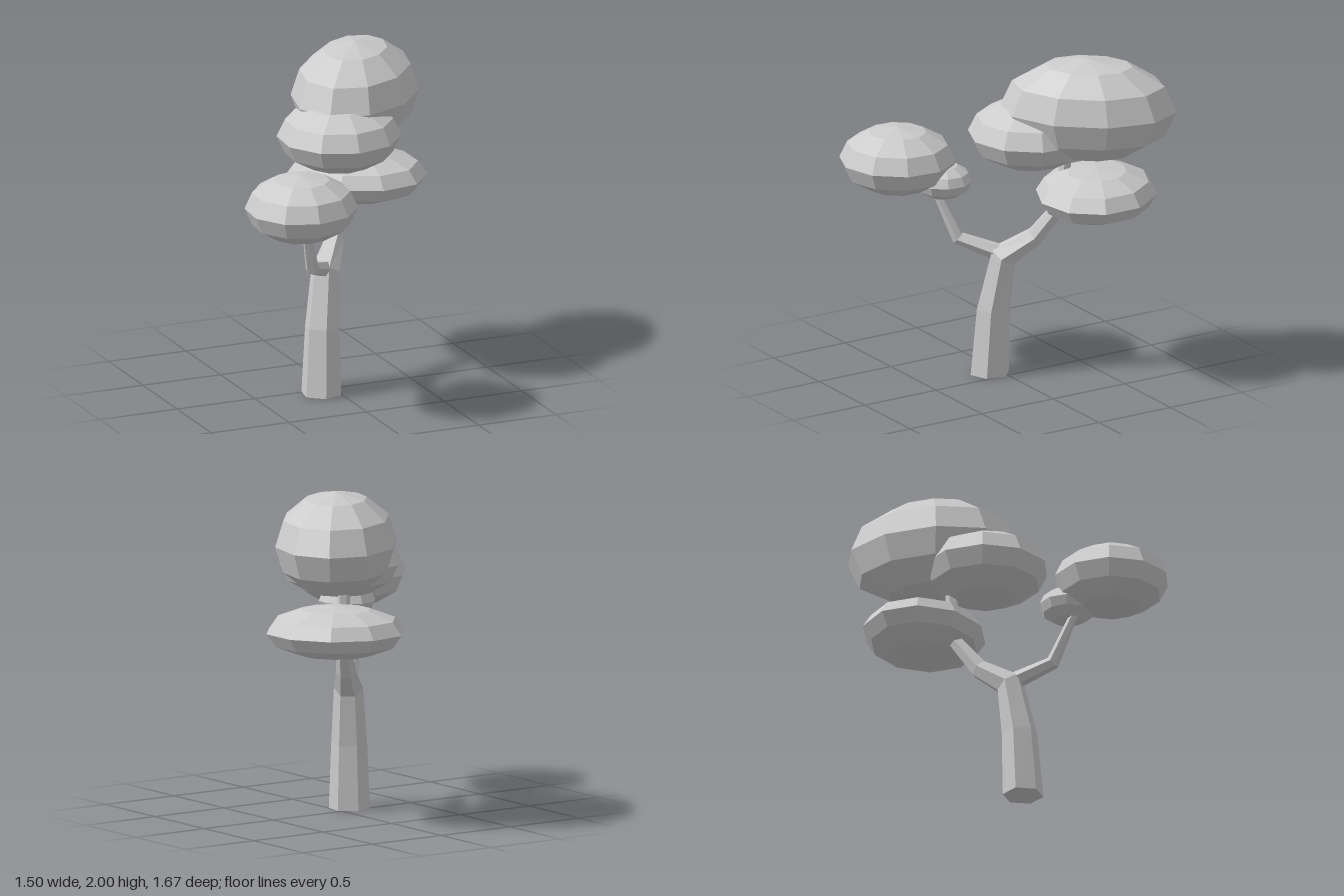
import * as THREE from 'three';

const SIDES = 6;

const material = () => new THREE.MeshStandardMaterial({ color: 0xcccccc, flatShading: true });

// Tapered six-sided limb through rings [x, y, radius], lying in a vertical plane.
function limb(name, rings, z) {
  const pts = rings.map(([x, y]) => new THREE.Vector2(x, y));
  const positions = [];
  const index = [];
  rings.forEach(([x, y, r], i) => {
    const tangent = new THREE.Vector2();
    if (i > 0) tangent.add(pts[i].clone().sub(pts[i - 1]).normalize());
    if (i < pts.length - 1) tangent.add(pts[i + 1].clone().sub(pts[i]).normalize());
    tangent.normalize();
    if (y === 0) tangent.set(0, 1); // flat on the ground
    for (let j = 0; j < SIDES; j++) {
      const a = Math.PI / 6 + (j / SIDES) * Math.PI * 2;
      const n = r * Math.cos(a);
      positions.push(x + n * tangent.y, y - n * tangent.x, z + r * Math.sin(a));
    }
  });
  for (let i = 0; i < rings.length - 1; i++) {
    for (let j = 0; j < SIDES; j++) {
      const a = i * SIDES + j;
      const b = i * SIDES + ((j + 1) % SIDES);
      const c = a + SIDES;
      const d = b + SIDES;
      index.push(a, c, b, b, c, d);
    }
  }
  // end caps
  const last = (rings.length - 1) * SIDES;
  for (let j = 1; j < SIDES - 1; j++) {
    index.push(0, j, j + 1, last, last + j + 1, last + j);
  }
  const geometry = new THREE.BufferGeometry();
  geometry.setAttribute('position', new THREE.Float32BufferAttribute(positions, 3));
  geometry.setIndex(index);
  geometry.computeVertexNormals();
  const mesh = new THREE.Mesh(geometry, material());
  mesh.name = name;
  return mesh;
}

// Squashed low-poly foliage clump.
function clump(name, x, y, rx, ry, rz) {
  const geometry = new THREE.SphereGeometry(1, 10, 6);
  geometry.scale(rx, ry, rz);
  const mesh = new THREE.Mesh(geometry, material());
  mesh.name = name;
  mesh.position.set(x, y, 0);
  return mesh;
}

export function createModel() {
  const model = new THREE.Group();
  model.name = 'tree';

  // The whole tree spreads along one diagonal plane.
  const tree = new THREE.Group();
  tree.name = 'treeBody';
  tree.rotation.y = THREE.MathUtils.degToRad(50);
  model.add(tree);

  // Trunk, bending into the main branch
  tree.add(limb('trunk', [
    [-0.112, 0, 0.122], [-0.09, 0.4, 0.106], [-0.03, 0.735, 0.086],
    [0.16, 0.865, 0.06], [0.305, 1.06, 0.047], [0.335, 1.3, 0.038], [0.35, 1.5, 0.032],
  ], -0.035));

  // Side branch
  tree.add(limb('sideBranch', [
    [0.0, 0.735, 0.055], [-0.3, 0.832, 0.042], [-0.42, 1.09, 0.026], [-0.52, 1.24, 0.02],
  ], -0.035));

  // Foliage: name, x, y, radii
  [
    ['topFoliage', 0.48, 1.69, 0.525, 0.31, 0.366],
    ['middleFoliage', 0.141, 1.522, 0.378, 0.207, 0.368],
    ['lowerFoliage', 0.527, 1.168, 0.36, 0.157, 0.42],
    ['sideFoliage', -0.656, 1.32, 0.346, 0.2, 0.334],
    ['smallFoliage', -0.383, 1.2, 0.172, 0.107, 0.172],
  ].forEach((spec) => tree.add(clump(...spec)));

  return model;
}
